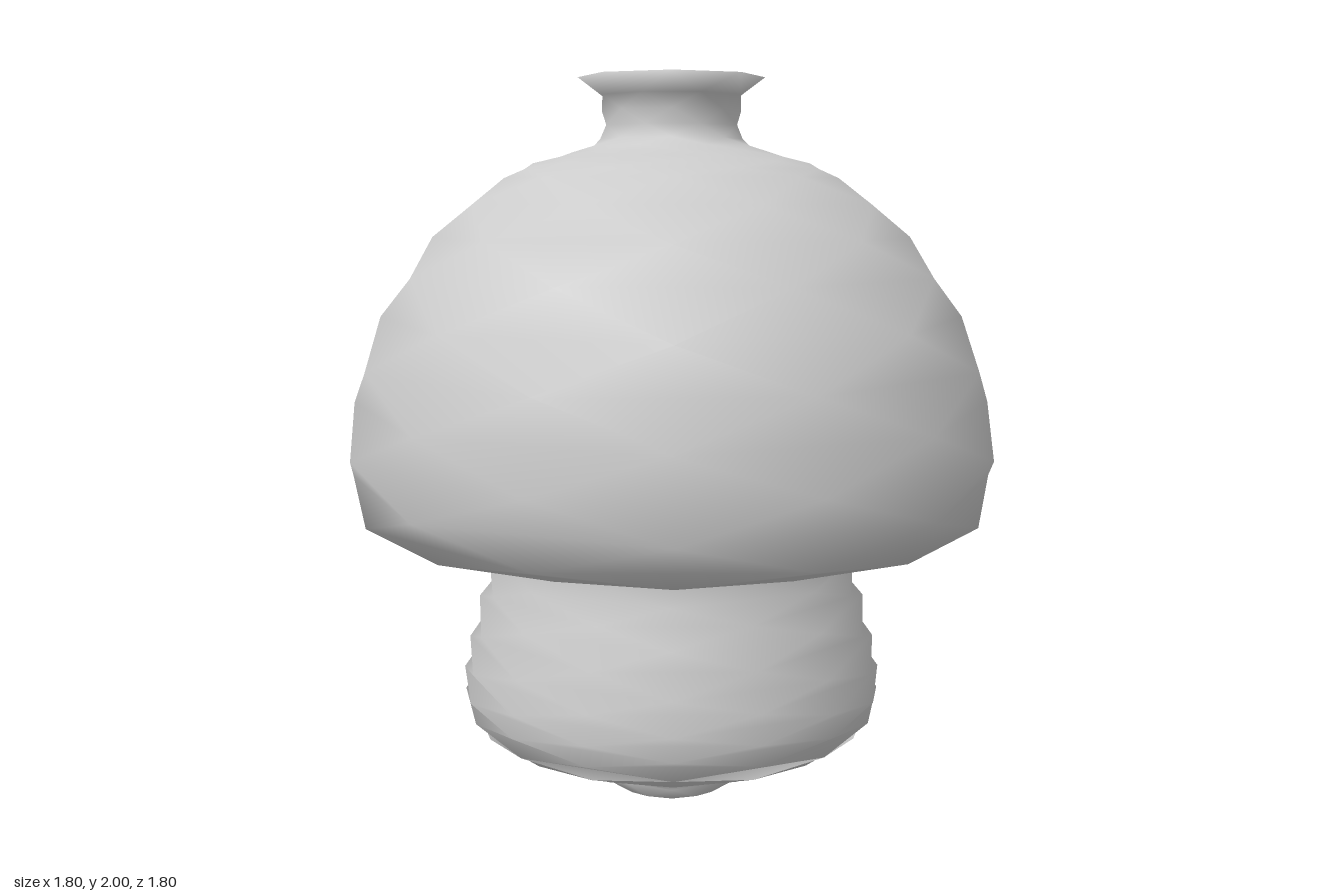
import * as THREE from 'three';

const SIDES = 8;

// Profile rings as [radius, height], bottom to top. Every second ring is turned by half a step.
const stemRings = [
  [0.16, 0], [0.18, 0.01], [0.185, 0.035], [0.195, 0.055], [0.22, 0.07], [0.28, 0.09],
  [0.36, 0.12], [0.44, 0.15], [0.505, 0.175], [0.545, 0.195], [0.567, 0.215], [0.585, 0.245],
  [0.595, 0.275], [0.598, 0.305], [0.597, 0.34], [0.59, 0.385], [0.58, 0.43], [0.565, 0.49],
  [0.55, 0.55], [0.53, 0.6], [0.52, 0.655], [0.505, 0.7], [0.51, 0.735], [0.53, 0.765],
];
const capRings = [
  [0.65, 0.77], [0.75, 0.772], [0.82, 0.785], [0.87, 0.82], [0.9, 0.9], [0.905, 1.0],
  [0.89, 1.11], [0.86, 1.23], [0.81, 1.35], [0.735, 1.47], [0.66, 1.57], [0.565, 1.66],
  [0.46, 1.73], [0.42, 1.752], [0.38, 1.77], [0.32, 1.785], [0.27, 1.8], [0.225, 1.815],
];
const neckRings = [[0.195, 1.835], [0.19, 1.87], [0.19, 1.91], [0.2, 1.95], [0.255, 2]];

// Whole profile, closed by a centre point at each end
const profile = [[0, 0], ...stemRings, ...capRings, ...neckRings, [0, 2]];
const last = profile.length - 1;

// Smooth profile normal: mean of the two neighbouring segment normals
function profileNormal(i) {
  if (i === 0) return new THREE.Vector2(0, -1);
  if (i === last) return new THREE.Vector2(0, 1);
  const segment = (a, b) => new THREE.Vector2(b[1] - a[1], a[0] - b[0]).normalize();
  return segment(profile[i - 1], profile[i]).add(segment(profile[i], profile[i + 1])).normalize();
}

// Column positions of a ring; turned rings keep their seam at the back
function columns(i) {
  const list = [];
  if (i % 2 === 1) {
    for (let c = 0; c <= SIDES; c++) list.push(c);
  } else {
    list.push(0);
    for (let c = 0; c < SIDES; c++) list.push(c + 0.5);
    list.push(SIDES);
  }
  return list;
}

// Skin of alternating triangles between profile rings first..end
function skin(name, first, end, material) {
  const positions = [], normals = [], index = [], starts = [];
  for (let i = first; i <= end; i++) {
    starts[i] = positions.length / 3;
    const [r, y] = profile[i], n = profileNormal(i);
    for (const c of columns(i)) {
      const a = (c / SIDES) * Math.PI * 2;
      positions.push(r * Math.sin(a), y, -r * Math.cos(a));
      normals.push(n.x * Math.sin(a), n.y, -n.x * Math.cos(a));
    }
  }
  for (let i = first; i < end; i++) {
    const plainBelow = i % 2 === 1;
    const A = starts[plainBelow ? i : i + 1], B = starts[plainBelow ? i + 1 : i];
    const add = (a, b, c) => (plainBelow ? index.push(a, b, c) : index.push(b, a, c));
    for (let c = 0; c < SIDES; c++) add(A + c + 1, A + c, B + c + 1);
    for (let k = 0; k <= SIDES; k++) add(B + k, B + k + 1, A + k);
  }
  const geometry = new THREE.BufferGeometry();
  geometry.setAttribute('position', new THREE.Float32BufferAttribute(positions, 3));
  geometry.setAttribute('normal', new THREE.Float32BufferAttribute(normals, 3));
  geometry.setIndex(index);
  const mesh = new THREE.Mesh(geometry, material);
  mesh.name = name;
  return mesh;
}

export function createModel() {
  const group = new THREE.Group();
  group.name = 'mushroomJar';
  const material = new THREE.MeshStandardMaterial({ color: 0xcccccc, side: THREE.DoubleSide });
  const stemEnd = stemRings.length, capEnd = stemEnd + capRings.length;
  group.add(
    skin('stem', 0, stemEnd, material),
    skin('cap', stemEnd, capEnd, material),
    skin('neck', capEnd, last, material),
  );
  return group;
}
